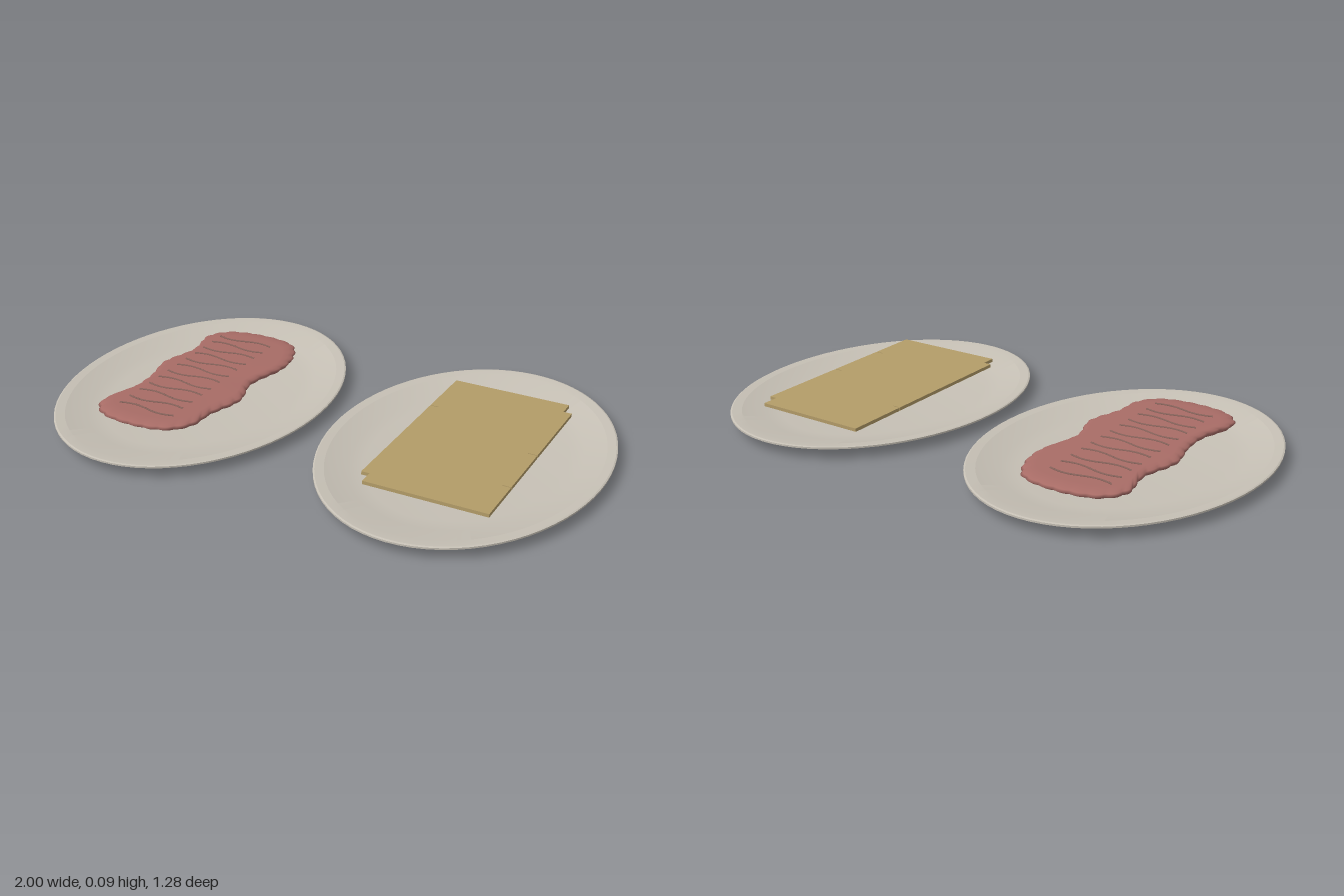
import * as THREE from 'three';
import { toCreasedNormals } from 'three/addons/utils/BufferGeometryUtils.js';

const mat = (name, color) => {
  const m = new THREE.MeshStandardMaterial({ color });
  m.name = name;
  return m;
};

const PLATE_X = 0.52;
const TILT = -0.02;

// Oval plate: a unit lathe squashed into an ellipse
function plateGeometry() {
  const profile = [
    [0, 0], [0.6, 0], [0.76, 0.004], [0.97, 0.03], [1, 0.037], [1, 0.043], [0.99, 0.045],
    [0.93, 0.042], [0.78, 0.02], [0.68, 0.013], [0, 0.012],
  ].map(([r, y]) => new THREE.Vector2(r, y));
  const g = new THREE.LatheGeometry(profile, 72);
  g.scale(0.48, 1, 0.64);
  return toCreasedNormals(g, 0.16);
}

// Steak: scalloped outline lofted through rounded cross-sections
function steakGeometry() {
  const outline = new THREE.CatmullRomCurve3([
    [-0.35, -0.05], [-0.315, 0.09], [-0.35, 0.23], [-0.36, 0.34], [-0.42, 0.41], [-0.55, 0.435],
    [-0.68, 0.41], [-0.735, 0.34], [-0.7, 0.18], [-0.705, 0.07], [-0.73, -0.05], [-0.695, -0.2],
    [-0.715, -0.34], [-0.66, -0.415], [-0.52, -0.445], [-0.39, -0.42], [-0.335, -0.34], [-0.315, -0.23],
  ].map(([x, z]) => new THREE.Vector3(x + PLATE_X, 0, z)), true);
  const n = 280;
  const pts = outline.getSpacedPoints(n).slice(0, n);
  // scale towards the middle, height, amount of scallop
  const rings = [[0, -0.012, 0], [0.9, -0.012, 0.3], [0.97, -0.009, 1], [1, 0, 1],
    [0.98, 0.006, 1], [0.93, 0.011, 0.5], [0.86, 0.013, 0], [0, 0.014, 0]];
  const position = [], index = [];
  rings.forEach(([s, y, bump], r) => {
    pts.forEach((p, i) => {
      const k = s + bump * 0.03 * (Math.abs(Math.sin((i / n) * Math.PI * 40)) - 0.5);
      position.push(p.x * k, y, p.z * (s + (k - s) * 0.4));
      if (r === rings.length - 1) return;
      const a = r * n + i, b = r * n + (i + 1) % n;
      index.push(a, a + n, b, b, a + n, b + n);
    });
  });
  const g = new THREE.BufferGeometry();
  g.setAttribute('position', new THREE.Float32BufferAttribute(position, 3));
  g.setIndex(index);
  g.computeVertexNormals();
  return g;
}

// Flatbread: thin slab with two stepped corners and short edge slits
function flatbreadGeometry() {
  const w = 0.002;
  const s = new THREE.Shape([
    [0.33, 0.415], [0.76, 0.415], [0.76, 0.23 + w], [0.73, 0.23 + w], [0.73, 0.23 - w], [0.76, 0.23 - w],
    [0.76, -0.01 + w], [0.73, -0.01 + w], [0.73, -0.01 - w], [0.76, -0.01 - w],
    [0.76, -0.36], [0.73, -0.36], [0.73, -0.42], [0.3, -0.42],
    [0.3, -0.185 - w], [0.33, -0.185 - w], [0.33, -0.185 + w], [0.3, -0.185 + w],
    [0.3, 0.36], [0.33, 0.36],
  ].map(([x, z]) => new THREE.Vector2(x - PLATE_X, -z)));
  const g = new THREE.ExtrudeGeometry(s, { depth: 0.012, bevelEnabled: false });
  g.rotateX(-Math.PI / 2);
  g.translate(0, -0.006, 0);
  return g;
}

export function createModel() {
  const china = mat('plateGrey', 0xc6c0b5);
  const meat = mat('meatRed', 0xa86c66);
  const sear = mat('searBrown', 0x85625a);
  const bread = mat('breadTan', 0xb39c68);

  const model = new THREE.Group();
  model.name = 'servedPlates';
  const add = (parent, name, geometry, material) => {
    const m = new THREE.Mesh(geometry, material);
    m.name = name;
    parent.add(m);
    return m;
  };

  // Two matching plates
  const plate = plateGeometry();
  add(model, 'steakPlate', plate, china).position.x = -PLATE_X;
  add(model, 'breadPlate', plate, china).position.x = PLATE_X;

  // Steak with wavy sear ridges
  const steak = new THREE.Group();
  steak.name = 'steak';
  steak.position.set(-PLATE_X, 0.066, 0);
  steak.rotation.x = TILT;
  add(steak, 'steakBody', steakGeometry(), meat);
  for (let i = 0; i < 12; i++) {
    const z = -0.335 + i * 0.0605, flip = i % 2 ? -1 : 1;
    const pts = [];
    for (let k = 0; k <= 8; k++) {
      const t = k / 8;
      pts.push(new THREE.Vector3(-0.14 + 0.225 * t, 0.0135, z + flip * 0.01 * Math.sin(t * Math.PI * 2)));
    }
    add(steak, 'searRidge', new THREE.TubeGeometry(new THREE.CatmullRomCurve3(pts), 20, 0.004, 6), sear);
  }
  model.add(steak);

  // Flatbread
  const slab = add(model, 'flatbread', flatbreadGeometry(), bread);
  slab.position.set(PLATE_X, 0.066, 0);
  slab.rotation.x = TILT;

  return model;
}
